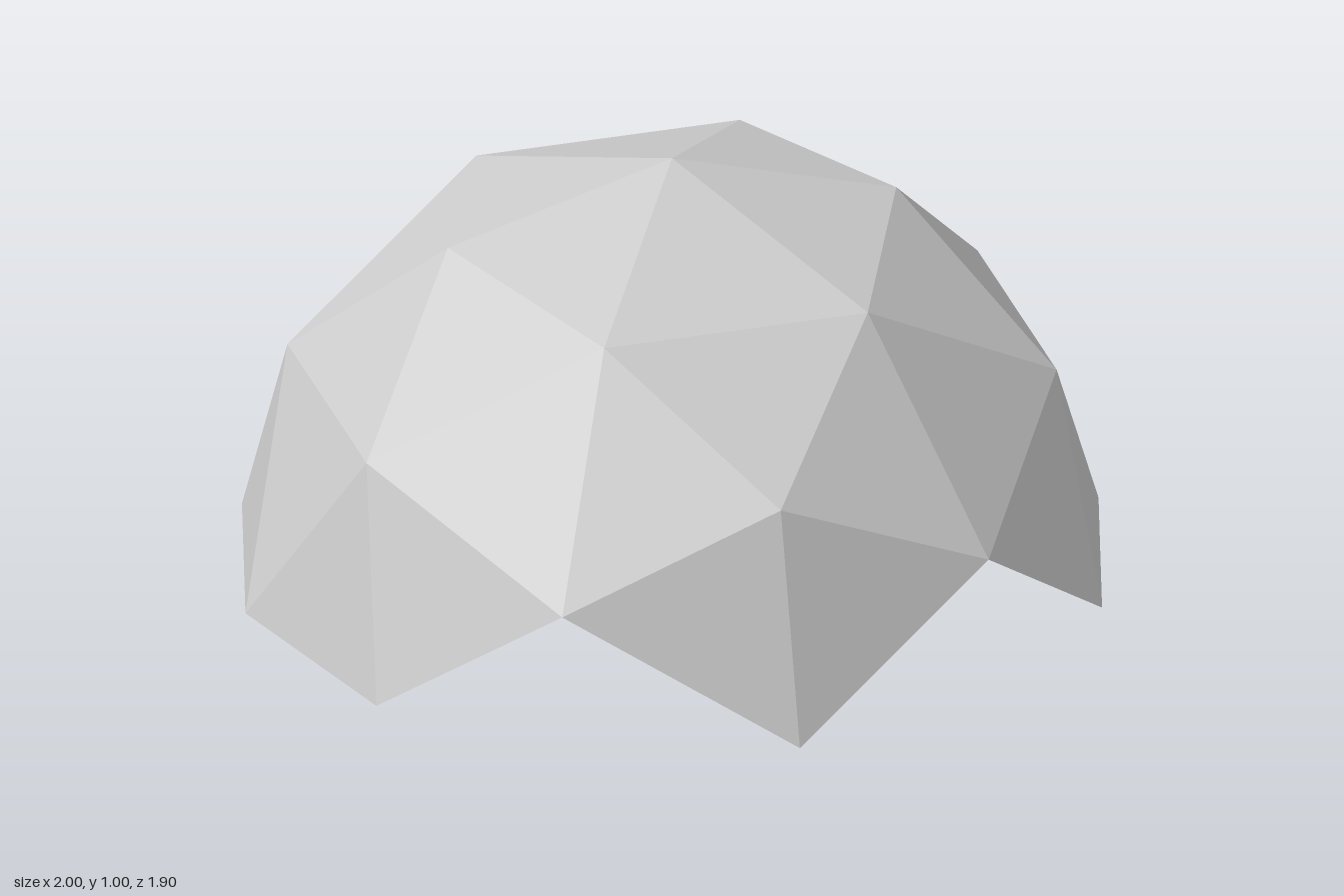
import * as THREE from 'three';

export function createModel() {
  const model = new THREE.Group();
  const shellGrey = new THREE.MeshStandardMaterial({ color: 0xcccccc, flatShading: true, side: THREE.DoubleSide });
  shellGrey.name = 'shellGrey';

  // Geodesic dome: keep only whole triangles above the equator, leaving four arched openings
  const sphere = new THREE.IcosahedronGeometry(1, 1);
  sphere.rotateY(Math.atan(2 / (1 + Math.sqrt(5))));
  const source = sphere.getAttribute('position');
  const kept = [];
  for (let i = 0; i < source.count; i += 3) {
    const corners = [0, 1, 2].map(k => new THREE.Vector3().fromBufferAttribute(source, i + k));
    if (corners.every(c => c.y > -0.001)) corners.forEach(c => kept.push(c.x, c.y, c.z));
  }
  const domeGeometry = new THREE.BufferGeometry();
  domeGeometry.setAttribute('position', new THREE.Float32BufferAttribute(kept, 3));
  domeGeometry.computeVertexNormals();
  const dome = new THREE.Mesh(domeGeometry, shellGrey);
  dome.name = 'dome';
  dome.position.y = 0.005;
  model.add(dome);

  // Tiny car under the dome, facing +z
  const car = new THREE.Group();
  car.name = 'car';
  car.position.z = 0.083;
  model.add(car);

  // Side profile (z, y) extruded across the width
  const addProfile = (name, points, width) => {
    const shape = new THREE.Shape(points.map(([z, y]) => new THREE.Vector2(z, y)));
    const geometry = new THREE.ExtrudeGeometry(shape, { depth: width, bevelEnabled: false });
    geometry.translate(0, 0, -width / 2);
    geometry.rotateY(-Math.PI / 2);
    const mesh = new THREE.Mesh(geometry, shellGrey);
    mesh.name = name;
    car.add(mesh);
  };
  addProfile('carBody', [[-0.048, 0.009], [0.048, 0.009], [0.048, 0.026], [0.026, 0.031], [-0.048, 0.031]], 0.046);
  addProfile('carCabin', [[-0.047, 0.031], [0.028, 0.031], [0.016, 0.051], [-0.042, 0.051]], 0.04);

  // Wheels
  const wheelGeometry = new THREE.CylinderGeometry(0.009, 0.009, 0.008, 12);
  wheelGeometry.rotateZ(Math.PI / 2);
  for (const x of [-0.02, 0.02]) {
    for (const z of [-0.029, 0.03]) {
      const wheel = new THREE.Mesh(wheelGeometry, shellGrey);
      wheel.name = 'wheel';
      wheel.position.set(x, 0.009, z);
      car.add(wheel);
    }
  }
  return model;
}
